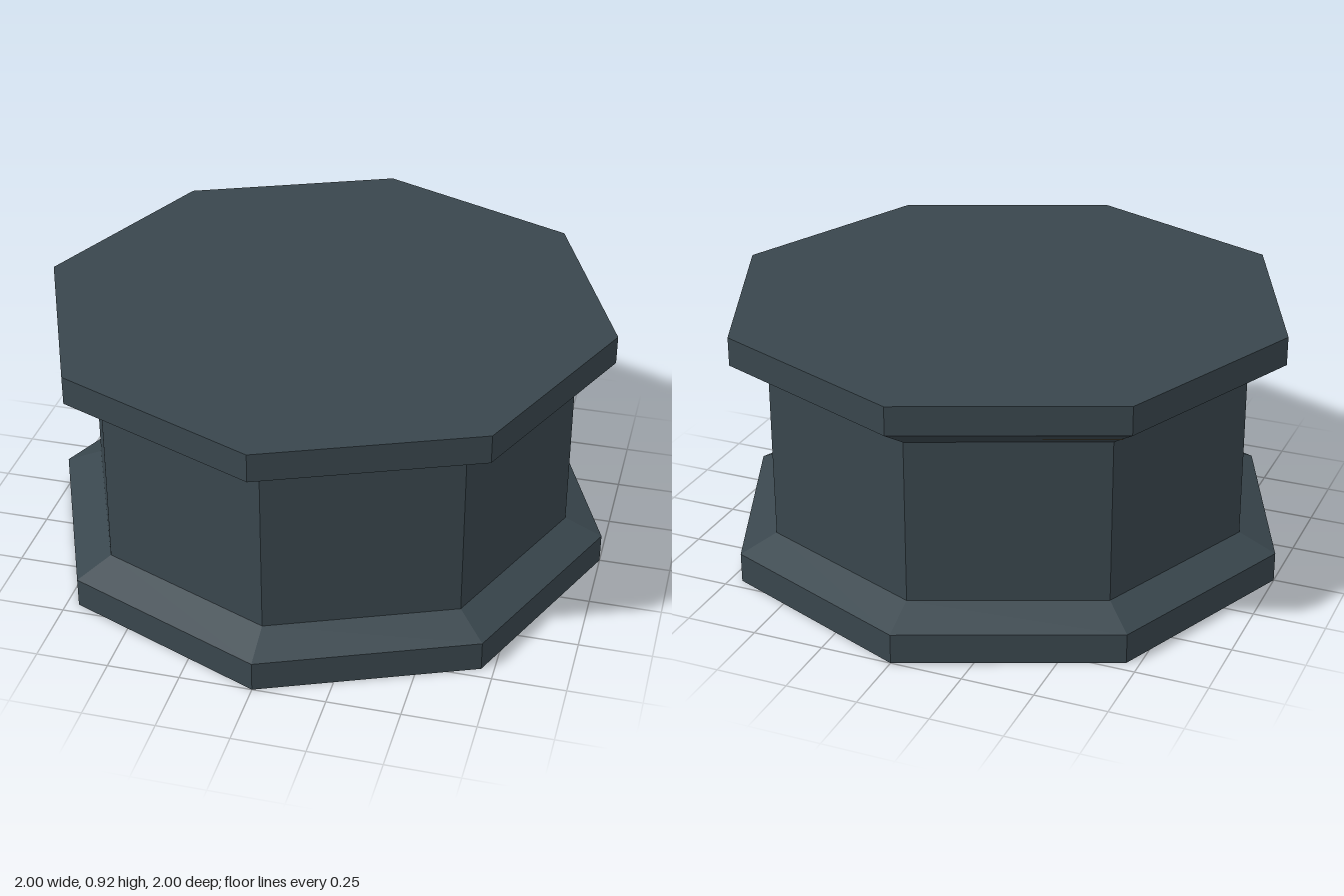
import * as THREE from 'three';

const SIDES = 8;

// Faceted solid of revolution from [radius, y] points listed bottom to top
function facetedLathe(name, points, material) {
  const profile = points.map(([r, y]) => new THREE.Vector2(r, y));
  const geometry = new THREE.LatheGeometry(profile, SIDES).toNonIndexed();
  geometry.computeVertexNormals();
  const mesh = new THREE.Mesh(geometry, material);
  mesh.name = name;
  return mesh;
}

export function createModel() {
  const slate = new THREE.MeshStandardMaterial({ color: 0x39464d });
  slate.name = 'dark slate';
  const amber = new THREE.MeshStandardMaterial({ color: 0xb87420 });
  amber.name = 'amber';

  const model = new THREE.Group();
  model.name = 'octagonalPedestal';

  model.add(
    // Foot plate with a bevelled shoulder
    facetedLathe('base', [[0, 0], [1, 0], [1, 0.105], [0.868, 0.163]], slate),
    // Straight drum
    facetedLathe('body', [[0.868, 0.163], [0.868, 0.737]], slate),
    // Flared cap plate
    facetedLathe('cap', [[0.868, 0.737], [1, 0.817], [1, 0.917], [0, 0.917]], slate),
    // Fine trim line lying just off the underside of the flare
    facetedLathe('trimLine', [[0.931, 0.7725], [0.938, 0.7767]], amber)
  );
  return model;
}
